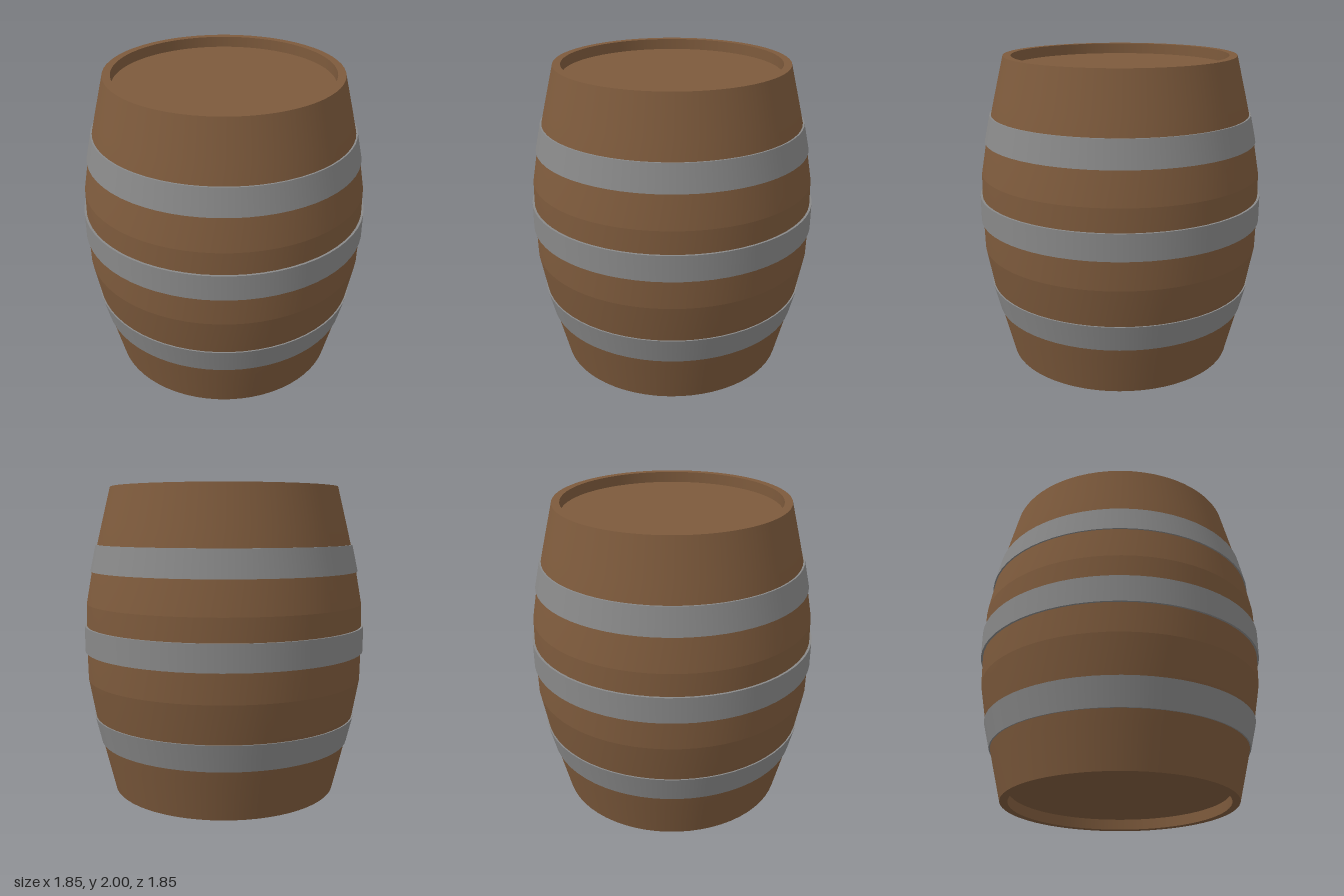
import * as THREE from 'three';
import { mergeGeometries } from 'three/addons/utils/BufferGeometryUtils.js';

const SIDES = 64;

// Each run of [radius, y] points is smooth; edges between runs stay sharp.
function turned(name, material, runs) {
  const parts = runs.map((run) =>
    new THREE.LatheGeometry(run.map(([r, y]) => new THREE.Vector2(r, y)), SIDES));
  const mesh = new THREE.Mesh(mergeGeometries(parts), material);
  mesh.name = name;
  return mesh;
}

// Closed metal band with a sloped outer face.
function hoop(name, material, y0, r0, y1, r1) {
  const t = 0.04;
  const a = [r0 - t, y0], b = [r0, y0], c = [r1, y1], d = [r1 - t, y1];
  return turned(name, material, [[a, b], [b, c], [c, d], [d, a]]);
}

export function createModel() {
  const wood = new THREE.MeshStandardMaterial({ color: 0x7d5a3c });
  wood.name = 'wood';
  const metal = new THREE.MeshStandardMaterial({ color: 0x888888 });
  metal.name = 'metal';

  const barrel = new THREE.Group();
  barrel.name = 'barrel';

  // Bulging stave wall with flat rims and the inner walls of both recesses
  const rim = 0.745, inner = 0.695, recess = 0.07;
  barrel.add(turned('staves', wood, [
    [[inner, recess], [inner, 0]],
    [[inner, 0], [rim, 0]],
    [[rim, 0], [0.806, 0.25], [0.865, 0.5], [0.91, 0.75]],
    [[0.91, 0.75], [0.915, 1], [0.91, 1.25]],
    [[0.91, 1.25], [0.865, 1.5], [0.806, 1.75], [rim, 2]],
    [[rim, 2], [inner, 2]],
    [[inner, 2], [inner, 2 - recess]],
  ]));

  // Recessed round heads
  for (const [name, y, turn] of [['topHead', 2 - recess, -1], ['bottomHead', recess, 1]]) {
    const head = new THREE.Mesh(new THREE.CircleGeometry(inner, SIDES), wood);
    head.name = name;
    head.rotation.x = turn * Math.PI / 2;
    head.position.y = y;
    barrel.add(head);
  }

  // Metal hoops
  barrel.add(
    hoop('lowerHoop', metal, 0.33, 0.833, 0.503, 0.875),
    hoop('middleHoop', metal, 0.937, 0.927, 1.105, 0.927),
    hoop('upperHoop', metal, 1.46, 0.882, 1.63, 0.845),
  );
  return barrel;
}
